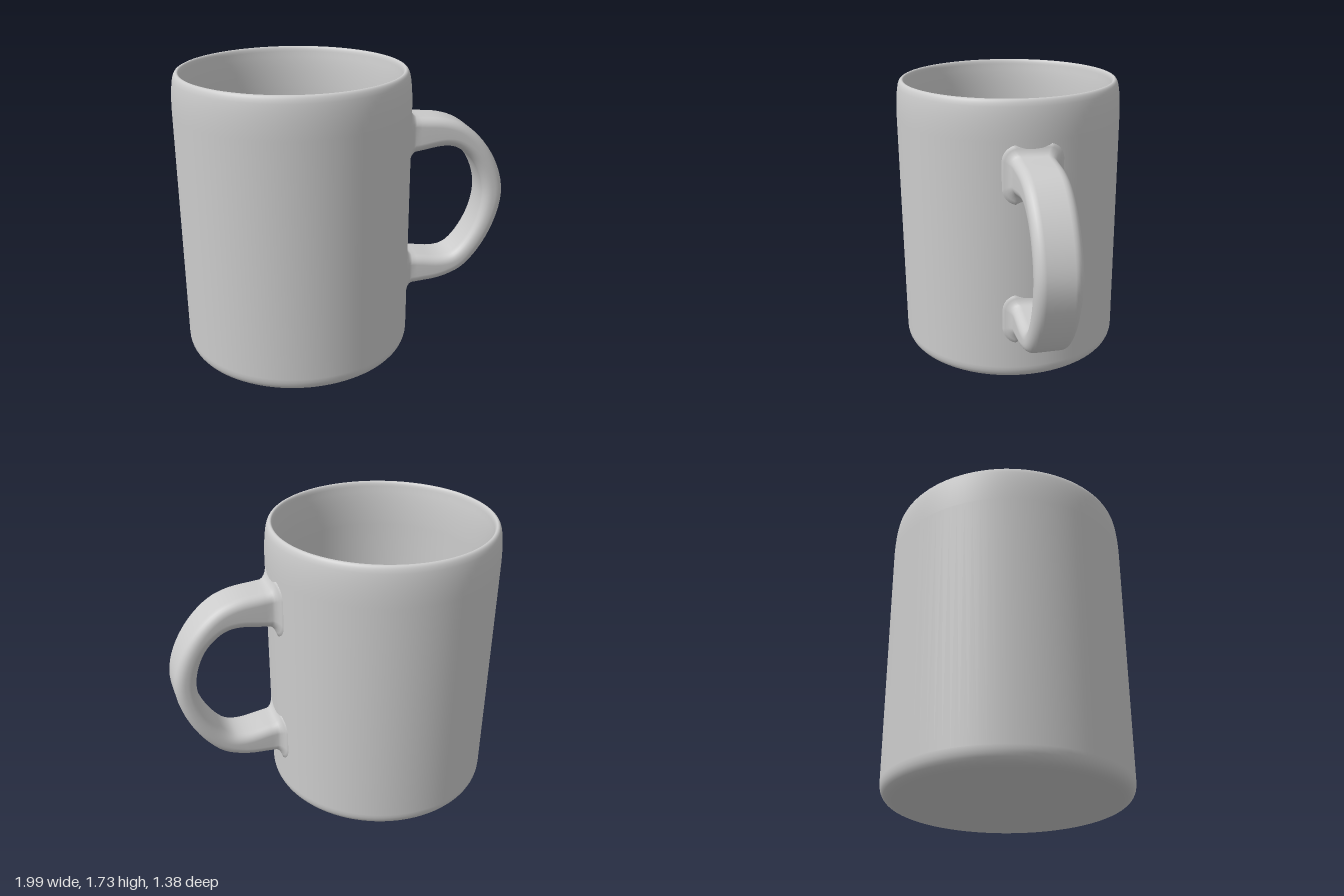
import * as THREE from 'three';

const MUG_X = -0.31, RADIUS = 0.69, HALF_WIDTH = 0.13;

// Hollow cup turned from one closed profile: underside, wall, rim, inside, floor
function cupGeometry() {
  const p = new THREE.Path();
  p.moveTo(0, 0);
  p.lineTo(0.6, 0);
  p.quadraticCurveTo(0.69, 0, 0.69, 0.09);
  p.lineTo(0.69, 1.5);
  p.quadraticCurveTo(0.69, 1.62, 0.676, 1.69);
  p.quadraticCurveTo(0.667, 1.73, 0.65, 1.73);
  p.quadraticCurveTo(0.636, 1.73, 0.632, 1.69);
  p.quadraticCurveTo(0.615, 1.6, 0.613, 1.45);
  p.lineTo(0.607, 0.17);
  p.quadraticCurveTo(0.605, 0.1, 0.54, 0.1);
  p.lineTo(0, 0.1);
  return new THREE.LatheGeometry(p.getPoints(8), 96);
}

// Rounded rectangle outline as [across thickness, across width] offsets
function section(thickness, width) {
  const r = Math.min(0.055, thickness * 0.45), out = [];
  const corners = [[1, 1], [-1, 1], [-1, -1], [1, -1]];
  corners.forEach(([sx, sz], k) => {
    for (let i = 0; i <= 6; i++) {
      const a = (k + i / 6) * Math.PI / 2;
      out.push([sx * (thickness / 2 - r) + r * Math.cos(a), sz * (width / 2 - r) + r * Math.sin(a)]);
    }
  });
  return out;
}

const rail = pts => new THREE.CatmullRomCurve3(pts.map(([x, y]) => new THREE.Vector3(x, y, 0)));

// Handle lofted between an outer and an inner rail, its roots flaring onto the wall
function handleGeometry() {
  const outer = rail([[0.44, 1.417], [0.6, 1.4], [0.72, 1.355], [0.85, 1.24], [0.95, 1.075], [0.99, 0.9],
    [0.95, 0.7], [0.85, 0.51], [0.74, 0.395], [0.6, 0.34], [0.44, 0.322]]);
  const inner = rail([[0.44, 1.204], [0.6, 1.226], [0.68, 1.21], [0.775, 1.135], [0.838, 1.02], [0.862, 0.89],
    [0.833, 0.73], [0.76, 0.59], [0.68, 0.51], [0.6, 0.492], [0.44, 0.512]]);
  const rings = [];

  // Root ring following the cup wall: distance from the wall, extra spread
  const flare = [[-0.02, 0.085], [0.0, 0.075], [0.004, 0.052], [0.012, 0.028], [0.024, 0.01], [0.038, 0]];
  const root = (yTop, yBottom, sign) => flare.map(([gap, spread]) =>
    section(yTop - yBottom, HALF_WIDTH * 2).map(([t, w]) => {
      const l = Math.hypot(t, w), y = (yTop + yBottom) / 2 + sign * t * (1 + spread / l);
      const z = w * (1 + 0.7 * spread / l);
      return [MUG_X + Math.sqrt(RADIUS ** 2 - z * z) + gap, y, z];
    }));

  rings.push(...root(1.42, 1.2, 1));
  const N = 40;
  for (let i = 0; i <= N; i++) {
    const o = outer.getPoint(i / N), n = inner.getPoint(i / N);
    const mid = o.clone().add(n).multiplyScalar(0.5), dir = o.clone().sub(n);
    const thickness = dir.length();
    dir.normalize();
    rings.push(section(thickness, HALF_WIDTH * 2).map(([t, w]) => [mid.x + dir.x * t, mid.y + dir.y * t, w]));
  }
  rings.push(...root(0.515, 0.32, -1).reverse());

  const m = rings[0].length, index = [];
  for (let i = 0; i < rings.length - 1; i++) {
    for (let j = 0; j < m; j++) {
      const a = i * m + j, b = i * m + (j + 1) % m;
      index.push(a, b, a + m, b, b + m, a + m);
    }
  }
  const g = new THREE.BufferGeometry();
  g.setAttribute('position', new THREE.Float32BufferAttribute(rings.flat(2), 3));
  g.setIndex(index);
  g.computeVertexNormals();
  return g;
}

export function createModel() {
  const group = new THREE.Group();
  group.name = 'mug';
  const material = new THREE.MeshStandardMaterial({ color: 0xcccccc });

  const cup = new THREE.Mesh(cupGeometry(), material);
  cup.name = 'cup';
  cup.position.x = MUG_X;

  const handle = new THREE.Mesh(handleGeometry(), material);
  handle.name = 'handle';

  group.add(cup, handle);
  return group;
}
